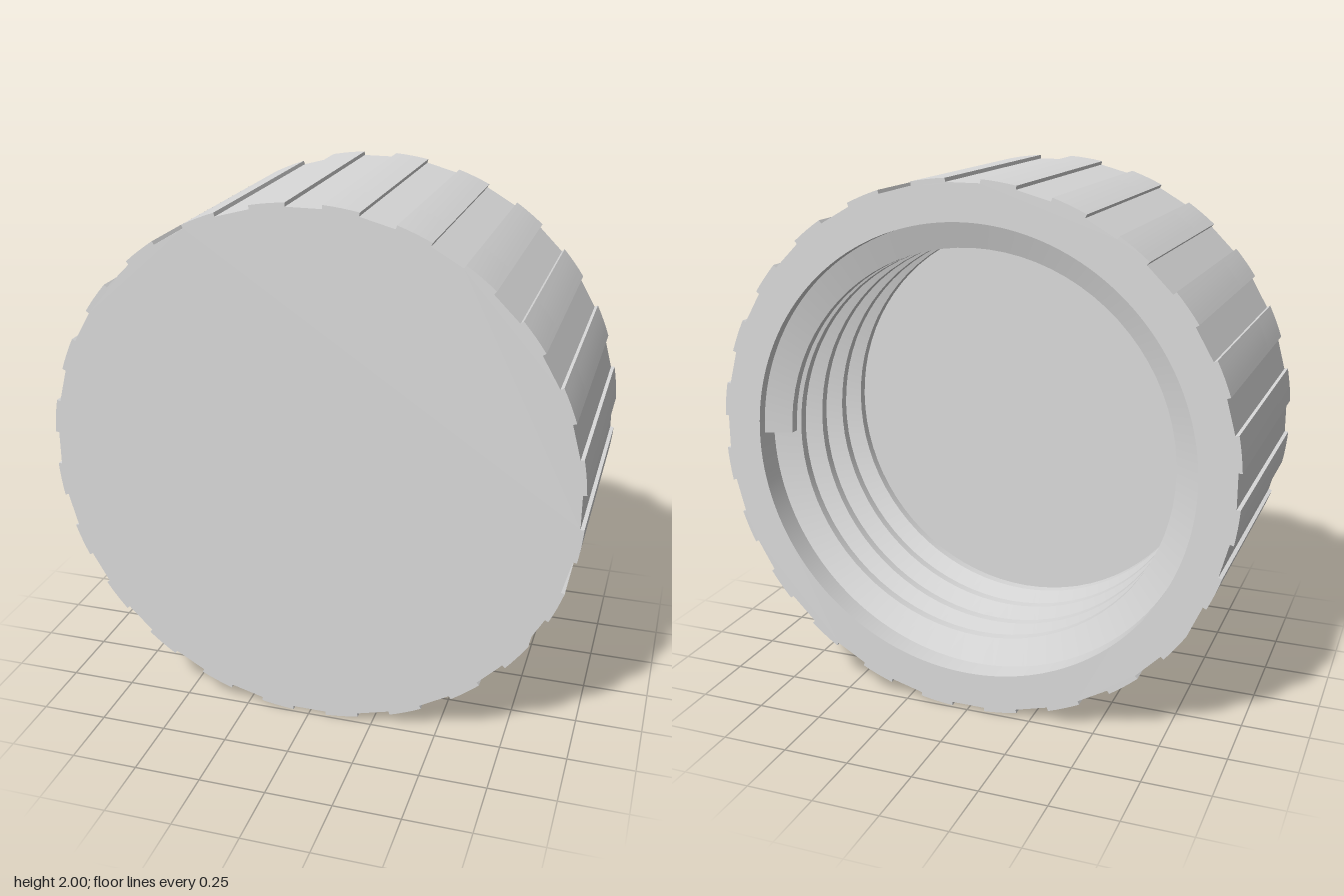
import * as THREE from 'three';
import { toCreasedNormals } from 'three/addons/utils/BufferGeometryUtils.js';

const HALF = 0.488;      // half the cap's depth
const TOP = 0.27;        // thickness of the closed end
const BORE = 0.85;       // inner radius
const TEETH = 24;

// Round outline with flat-bottomed grip notches
function gripOutline() {
  const pts = [];
  const step = (Math.PI * 2) / TEETH;
  const add = (r, a) => pts.push(new THREE.Vector2(r * Math.cos(a), r * Math.sin(a)));
  for (let i = 0; i < TEETH; i++) {
    const start = i * step + step / 4;
    add(0.986, start);
    for (let k = 0; k <= 4; k++) add(1, start + (step / 2) * (k / 4));
    add(0.986, start + step / 2);
  }
  return new THREE.Shape(pts);
}

function extrude(shape, depth, z) {
  const geo = new THREE.ExtrudeGeometry(shape, { depth, bevelEnabled: false, curveSegments: 96 });
  geo.translate(0, 0, z);
  return toCreasedNormals(geo, 0.2);
}

// Helical ridge: a trapezoid section swept round the bore until it sinks into the closed end.
// The first turn stays close to the mouth.
function threadGeometry() {
  const section = [[0.86, 0.033], [0.75, 0.07], [0.75, 0.105], [0.86, 0.142]];
  const turns = 4.7, perTurn = 80, firstPitch = 0.068, pitch = 0.168;
  const n = Math.round(turns * perTurn);
  const pos = [], idx = [];
  for (let i = 0; i <= n; i++) {
    const t = i / perTurn;
    const a = t * Math.PI * 2;
    const advance = firstPitch * Math.min(t, 1) + pitch * Math.max(t - 1, 0);
    for (const [r, d] of section) {
      pos.push(r * Math.cos(a), r * Math.sin(a), -HALF + d + advance);
    }
  }
  for (let i = 0; i < n; i++) {
    for (let j = 0; j < 3; j++) {
      const a = i * 4 + j, b = a + 4;
      idx.push(a, a + 1, b, a + 1, b + 1, b);
    }
  }
  idx.push(0, 2, 1, 0, 3, 2);
  const geo = new THREE.BufferGeometry();
  geo.setAttribute('position', new THREE.Float32BufferAttribute(pos, 3));
  geo.setIndex(idx);
  return toCreasedNormals(geo, 0.3);
}

export function createModel() {
  const group = new THREE.Group();
  group.name = 'screwCap';
  const plastic = new THREE.MeshStandardMaterial({ color: 0xd9d9d9 });
  plastic.name = 'greyPlastic';

  const add = (name, geo) => {
    const mesh = new THREE.Mesh(geo, plastic);
    mesh.name = name;
    mesh.position.y = 1;
    group.add(mesh);
  };

  // Ribbed wall, open at the back
  const ring = gripOutline();
  const hole = new THREE.Path();
  hole.absarc(0, 0, BORE, 0, Math.PI * 2, true);
  ring.holes.push(hole);
  add('ribbedWall', extrude(ring, HALF * 2 - TOP, -HALF));

  // Closed front end
  add('closedEnd', extrude(gripOutline(), TOP, HALF - TOP));

  // Inner screw thread
  add('screwThread', threadGeometry());
  return group;
}
